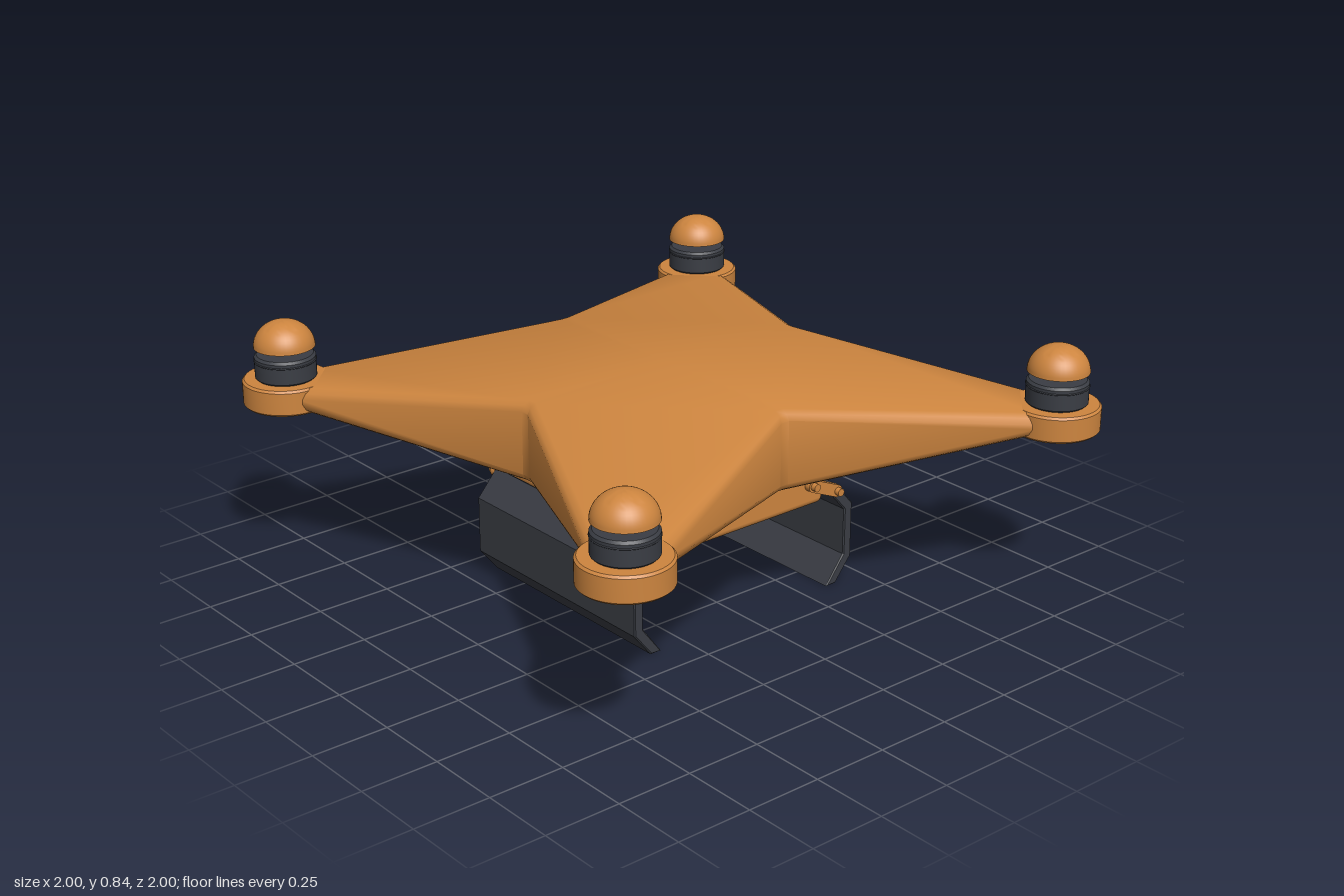
import * as THREE from 'three';
import { toCreasedNormals } from 'three/addons/utils/BufferGeometryUtils.js';
import { RoundedBoxGeometry } from 'three/addons/geometries/RoundedBoxGeometry.js';

const orange = new THREE.MeshStandardMaterial({ color: 0xcd853f });
const dark = new THREE.MeshStandardMaterial({ color: 0x3a3d44 });

function add(parent, name, geometry, material, x = 0, y = 0, z = 0) {
  const mesh = new THREE.Mesh(geometry, material);
  mesh.name = name;
  mesh.position.set(x, y, z);
  parent.add(mesh);
  return mesh;
}

// Four-armed shell: a star outline stacked in rounded layers, thinner at the tips
function shellGeometry() {
  const s = Math.SQRT1_2;
  // x, z, inset direction x, z, bottom y, top y
  const quarter = [
    [0.552, 0.015, -1, 0, 0.48, 0.745],
    [0.89, 0.73, -s, s, 0.575, 0.65],
    [0.73, 0.89, s, -s, 0.575, 0.65],
    [0.015, 0.552, 0, -1, 0.48, 0.745],
  ];
  // inset, distance from the bottom (0) or top (1) face
  const layers = [[0.03, 0, 0], [0.01, 0.012, 0], [0, 0.03, 0], [0, 0.03, 1], [0.01, 0.012, 1], [0.03, 0, 1]];
  const pos = [], idx = [], n = 16;
  for (const [inset, dy, top] of layers) {
    for (let q = 0; q < 4; q++) {
      for (const [px, pz, dx, dz, y0, y1] of quarter) {
        let x = px + dx * inset, z = pz + dz * inset;
        for (let r = 0; r < q; r++) [x, z] = [-z, x];
        pos.push(x, top ? y1 - dy : y0 + dy, z);
      }
    }
  }
  for (let k = 0; k < layers.length - 1; k++) {
    for (let i = 0; i < n; i++) {
      const a = k * n + i, b = k * n + (i + 1) % n;
      idx.push(a, a + n, b + n, a, b + n, b);
    }
  }
  // top and bottom faces: an arm quad per quarter and a central diamond
  const low = pos.length / 3, high = low + 1, t = (layers.length - 1) * n;
  pos.push(0, 0.48, 0, 0, 0.745, 0);
  for (let q = 0; q < 4; q++) {
    const a = q * 4, b = a + 1, c = a + 2, d = a + 3, e = (a + 4) % n;
    const tris = [[a, b, c], [a, c, d]];
    for (const [i, j, k] of tris) idx.push(i, j, k, t + i, t + k, t + j);
    for (const [i, j] of [[a, d], [d, e]]) idx.push(low, i, j, high, t + j, t + i);
  }
  const g = new THREE.BufferGeometry();
  g.setAttribute('position', new THREE.Float32BufferAttribute(pos, 3));
  g.setIndex(idx);
  return toCreasedNormals(g, 0.65);
}

// Closed disc with small bevels on both rims
function discGeometry(r, h, bevel) {
  const pts = [[0, 0], [r - bevel, 0], [r, bevel], [r, h - bevel], [r - bevel, h], [0, h]];
  const lathe = new THREE.LatheGeometry(pts.map(([x, y]) => new THREE.Vector2(x, y)), 48);
  return toCreasedNormals(lathe, 0.5);
}

// Closed half sphere, slightly flattened
function domeGeometry(r, h) {
  const pts = [new THREE.Vector2(0, 0), new THREE.Vector2(r * 0.97, 0)];
  for (let i = 0; i <= 14; i++) {
    const a = (i / 14) * Math.PI / 2;
    pts.push(new THREE.Vector2(i === 14 ? 0 : r * Math.cos(a), h * Math.sin(a)));
  }
  return toCreasedNormals(new THREE.LatheGeometry(pts, 40), 0.6);
}

function extrude(points, depth, bevel) {
  const shape = new THREE.Shape(points.map(([x, y]) => new THREE.Vector2(x, y)));
  const g = new THREE.ExtrudeGeometry(shape, {
    depth: depth - 2 * bevel, bevelEnabled: true, bevelSize: bevel,
    bevelThickness: bevel, bevelOffset: -bevel, bevelSegments: 1,
  });
  return g.translate(0, 0, bevel - depth / 2);
}

// Flat bar with round ends running between two points in the xy plane
function linkGeometry(x0, y0, x1, y1, r, depth) {
  const a = Math.atan2(y1 - y0, x1 - x0), shape = new THREE.Shape();
  shape.absarc(x1, y1, r, a - Math.PI / 2, a + Math.PI / 2, false);
  shape.absarc(x0, y0, r, a + Math.PI / 2, a + Math.PI * 1.5, false);
  const g = new THREE.ExtrudeGeometry(shape, { depth, bevelEnabled: false, curveSegments: 10 });
  return g.translate(0, 0, -depth / 2);
}

export function createModel() {
  const model = new THREE.Group();
  model.name = 'quadcopter';
  add(model, 'shell', shellGeometry(), orange);

  // Motor pods at the arm tips
  const pod = discGeometry(0.14, 0.086, 0.007);
  const motor = discGeometry(0.098, 0.082, 0.008);
  const band = new THREE.TorusGeometry(0.097, 0.003, 6, 48).rotateX(Math.PI / 2);
  const dome = domeGeometry(0.098, 0.086);
  for (const sx of [-1, 1]) {
    for (const sz of [-1, 1]) {
      const g = new THREE.Group();
      g.name = 'motorUnit';
      g.position.set(sx * 0.858, 0, sz * 0.858);
      add(g, 'pod', pod, orange, 0, 0.569, 0);
      add(g, 'motor', motor, dark, 0, 0.653, 0);
      add(g, 'motorBand', band, dark, 0, 0.715, 0);
      add(g, 'motorCap', dome, orange, 0, 0.759, 0);
      model.add(g);
    }
  }

  // Belly housing
  const zc = -0.008;
  add(model, 'bellyHousing', new RoundedBoxGeometry(0.65, 0.172, 0.79, 3, 0.022), orange, 0, 0.391, zc);

  // Bent landing skids, hung on links at both ends of the housing
  const profile = [
    [0.345, 0.003], [0.385, 0.003], [0.449, 0.083], [0.449, 0.27],
    [0.375, 0.355], [0.345, 0.335], [0.415, 0.255], [0.415, 0.097],
  ];
  const pin = new THREE.CylinderGeometry(0.013, 0.013, 0.04, 16).rotateX(Math.PI / 2);
  for (const sx of [-1, 1]) {
    const pts = profile.map(([x, y]) => [sx * x, y]);
    add(model, 'landingSkid', extrude(pts, 0.797, 0.004), dark, 0, 0, zc);
    for (const sz of [-1, 1]) {
      const z = zc + sz * 0.405;
      add(model, 'skidLink', linkGeometry(sx * 0.262, 0.383, sx * 0.365, 0.339, 0.02, 0.022), orange, 0, 0, z);
      add(model, 'linkPin', pin, orange, sx * 0.262, 0.383, z + sz * 0.008);
      add(model, 'linkPin', pin, orange, sx * 0.365, 0.339, z + sz * 0.008);
    }
  }
  return model;
}
